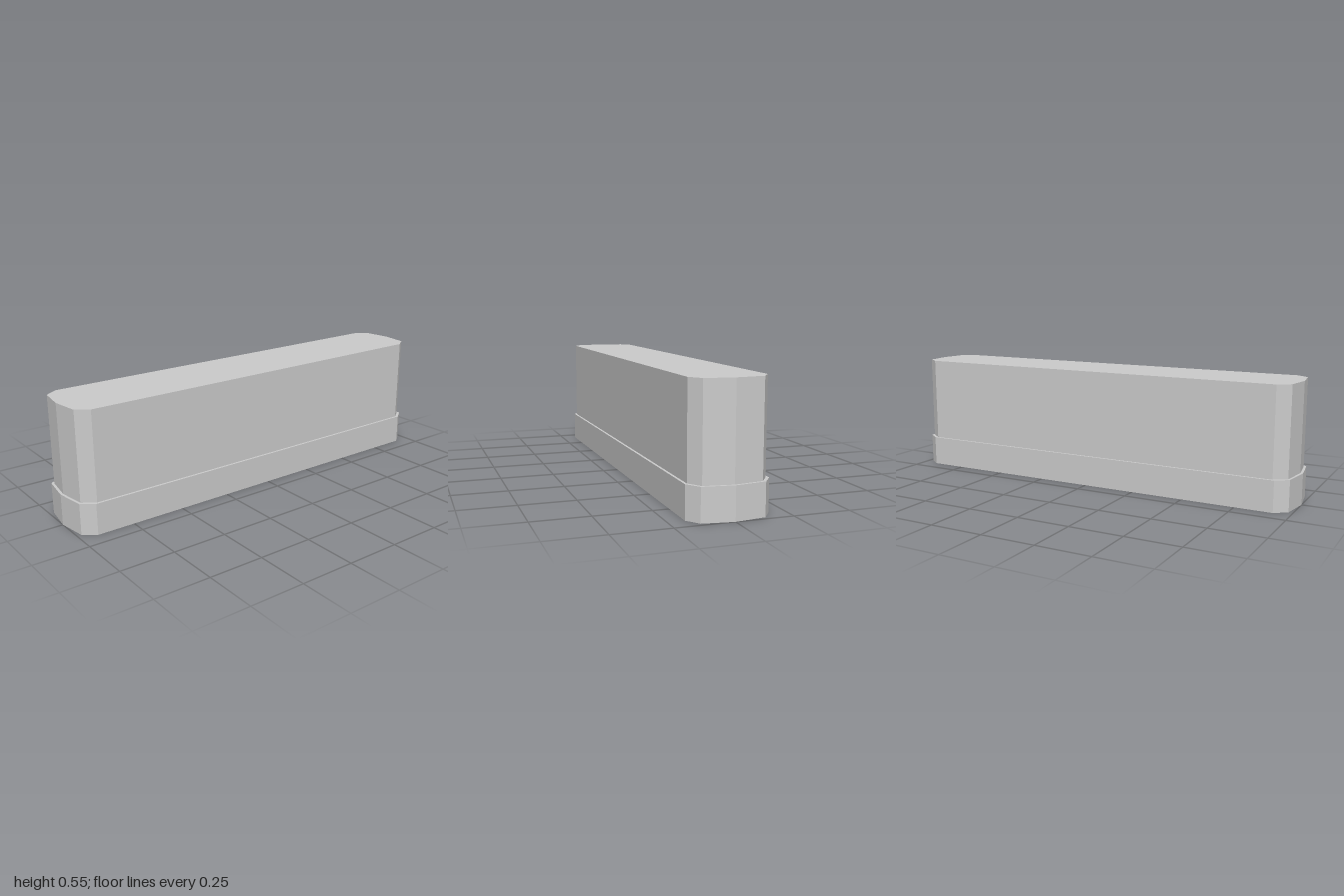
import * as THREE from 'three';

const material = new THREE.MeshStandardMaterial({ color: 0xcccccc, flatShading: true });

// Upright slab with chamfered corners and shallow pointed ends.
// tip, shoulder, flat: x of the end point, chamfer end and chamfer start
function slab(name, { tip, shoulder, flat, depth, shoulderDepth, bottom, top }) {
  const quarter = [[tip, 0], [shoulder, shoulderDepth], [flat, depth]];
  const half = [...quarter, ...quarter.slice(1).reverse().map(([x, z]) => [-x, z])];
  const outline = [...half, ...half.map(([x, z]) => [-x, -z])];
  const shape = new THREE.Shape(outline.map(([x, z]) => new THREE.Vector2(x, z)));
  const geometry = new THREE.ExtrudeGeometry(shape, { depth: top - bottom, bevelEnabled: false });
  geometry.rotateX(-Math.PI / 2);
  geometry.translate(0, bottom, 0);
  const mesh = new THREE.Mesh(geometry, material);
  mesh.name = name;
  return mesh;
}

export function createModel() {
  const group = new THREE.Group();
  group.name = 'block';

  // Wider plinth
  group.add(slab('plinth', {
    tip: 1, shoulder: 0.98, flat: 0.923, depth: 0.178, shoulderDepth: 0.136, bottom: 0, top: 0.143,
  }));

  // Slightly inset upper body
  group.add(slab('body', {
    tip: 0.988, shoulder: 0.97, flat: 0.913, depth: 0.167, shoulderDepth: 0.127, bottom: 0.143, top: 0.552,
  }));

  return group;
}
